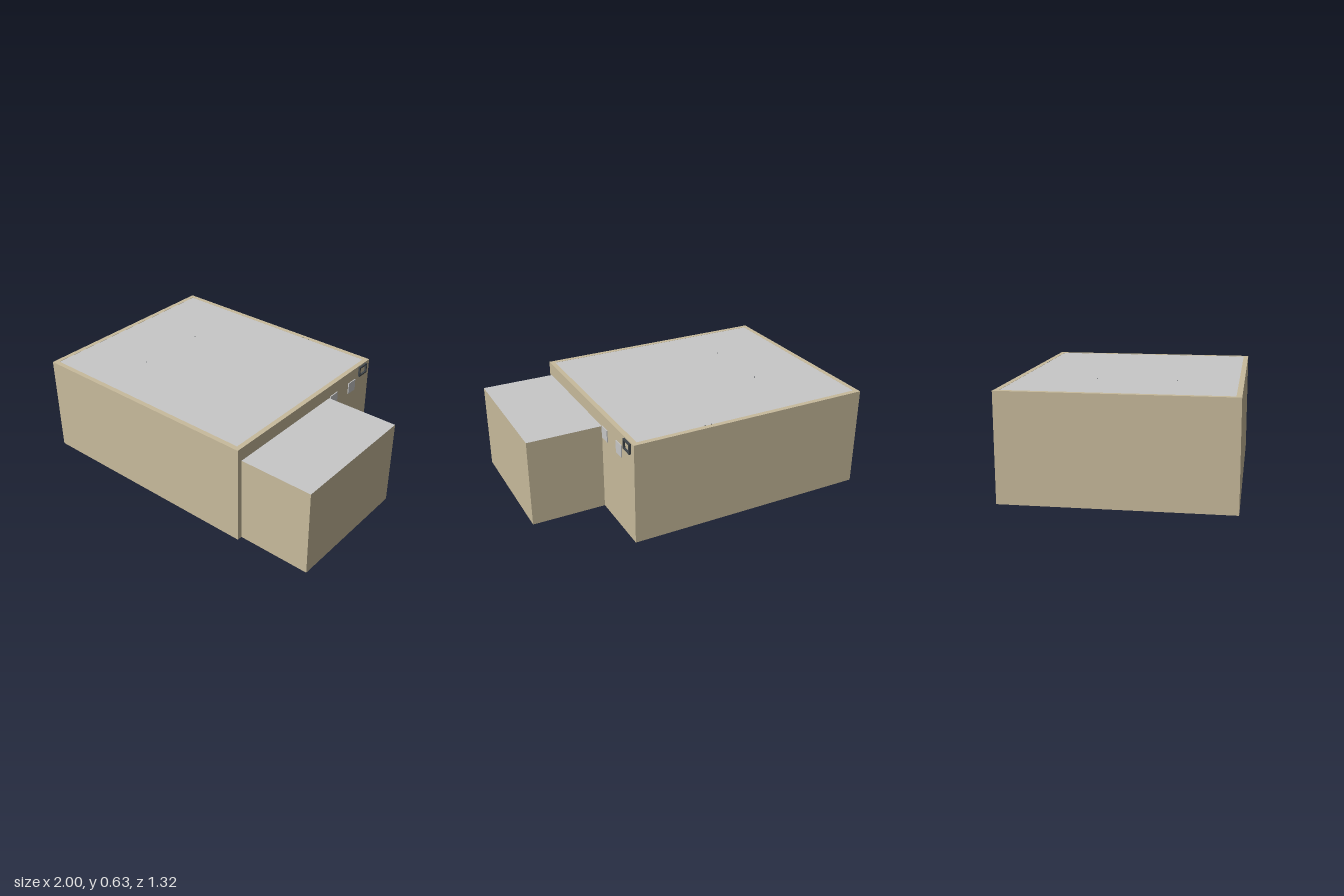
import * as THREE from 'three';

const paint = (name, color) => {
  const m = new THREE.MeshStandardMaterial({ color });
  m.name = name;
  return m;
};

export function createModel() {
  const model = new THREE.Group();
  model.name = 'building';
  const sand = paint('sand wall', 0xc8bb9c);
  const grey = paint('light grey', 0xc8c8c8);
  const slate = paint('slate floor', 0x8da1b2);
  const dark = paint('dark frame', 0x40464b);

  // Box given by its lower and upper corners
  const box = (name, material, [x0, y0, z0], [x1, y1, z1], parent = model) => {
    const mesh = new THREE.Mesh(new THREE.BoxGeometry(x1 - x0, y1 - y0, z1 - z0), material);
    mesh.position.set((x0 + x1) / 2, (y0 + y1) / 2, (z0 + z1) / 2);
    mesh.name = name;
    parent.add(mesh);
    return mesh;
  };

  const L = -1, R = 0.535, D = 0.66, H = 0.63, T = 0.03;

  // Main hall walls
  box('frontWall', sand, [L, 0, D - T], [R, H, D]);
  box('backWall', sand, [L, 0, -D], [R, H, T - D]);
  box('leftEndWall', sand, [L, 0, T - D], [L + T, H, D - T]);

  // Annex-side wall with a doorway at its foot
  const door = { z0: 0.11, z1: 0.33, h: 0.3 };
  box('sideWallBack', sand, [R - T, 0, T - D], [R, H, door.z0]);
  box('sideWallFront', sand, [R - T, 0, door.z1], [R, H, D - T]);
  box('doorLintel', sand, [R - T, door.h, door.z0], [R, H, door.z1]);
  box('door', grey, [R - T, 0, door.z0], [R - T + 0.008, door.h, door.z1]);

  // Roof and floor set between the walls
  box('roof', grey, [L + T, H - T, T - D], [R - T, H - 0.001, D - T]);
  box('floor', slate, [L + T, 0.001, T - D], [R - T, 0.02, D - T]);

  // Annex: sand sides, grey top and underside
  box('annex', [sand, sand, grey, grey, sand, sand], [R, 0, -0.215], [0.998, 0.547, 0.628]);

  // Two windows high on the side wall
  for (const z of [-0.263, -0.463]) {
    box('window', grey, [R, 0.48, z - 0.037], [R + 0.006, 0.555, z + 0.037]);
  }

  // Open vent frame near the back corner
  const vent = new THREE.Group();
  vent.name = 'ventFrame';
  model.add(vent);
  const z0 = -0.62, z1 = -0.537, y0 = 0.557, y1 = 0.622, w = 0.009;
  for (const y of [y0, y1 - w]) box('ventRail', dark, [R, y, z0], [R + 0.012, y + w, z1], vent);
  for (const z of [z0, z1 - w]) box('ventPost', dark, [R, y0 + w, z], [R + 0.012, y1 - w, z + w], vent);

  // Tiny roof fixings
  for (const [x, z] of [[0.035, -0.63], [0.078, -0.63], [-0.54, -0.18], [-0.54, 0.28]]) {
    box('roofFixing', dark, [x - 0.002, H - 0.002, z - 0.002], [x + 0.002, H + 0.003, z + 0.002]);
  }
  return model;
}
